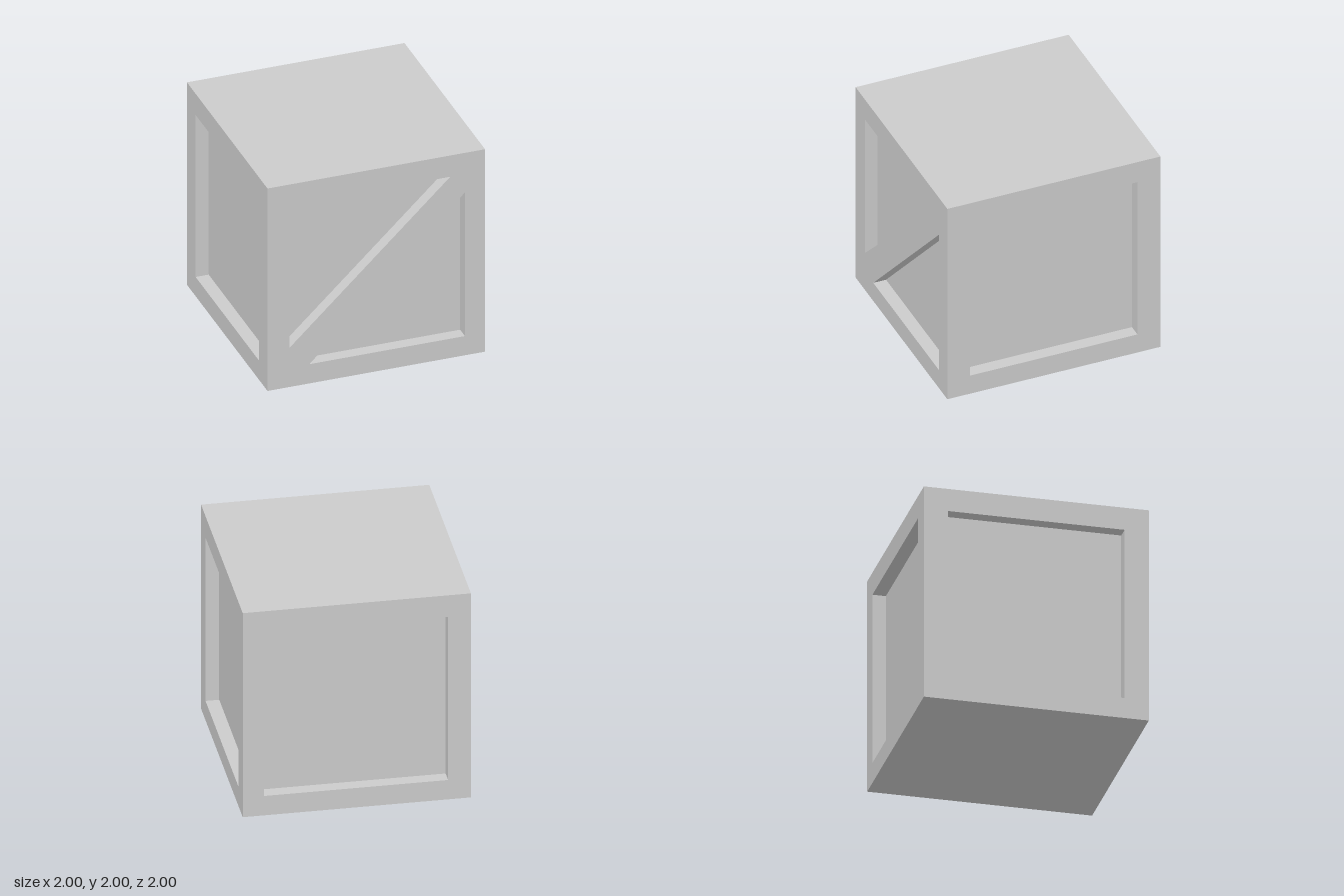
import * as THREE from 'three';

const DEPTH = 0.12; // how far the panels sit behind the frames
const INNER = 2 - 2 * DEPTH;

const material = new THREE.MeshStandardMaterial({ color: 0xcccccc, flatShading: true });

// Rectangular frame, 2 high, with polygonal openings cut through it
function frameGeometry(width, openings) {
  const w = width / 2;
  const points = (list) => list.map(([x, y]) => new THREE.Vector2(x, y));
  const shape = new THREE.Shape(points([[-w, 0], [w, 0], [w, 2], [-w, 2]]));
  for (const opening of openings) shape.holes.push(new THREE.Path(points(opening)));
  return new THREE.ExtrudeGeometry(shape, { depth: DEPTH, bevelEnabled: false });
}

const rect = (x0, x1) => [[x0, 0.19], [x0, 1.79], [x1, 1.79], [x1, 0.19]];

export function createModel() {
  const crate = new THREE.Group();
  crate.name = 'crate';

  function add(name, geometry, turn = 0) {
    const mesh = new THREE.Mesh(geometry, material);
    mesh.name = name;
    mesh.rotation.y = turn;
    crate.add(mesh);
  }

  // Solid body whose sides form the recessed panels
  add('body', new THREE.BoxGeometry(INNER, 2, INNER).translate(0, 1, 0));

  // Front frame with a diagonal brace between two triangular openings
  const front = frameGeometry(2, [
    [[-0.8, 0.385], [-0.8, 1.79], [0.68, 1.79]],
    [[-0.615, 0.19], [0.815, 1.61], [0.815, 0.19]],
  ]);
  add('frontFrame', front.translate(0, 0, 1 - DEPTH));

  // Back frame with one square opening
  const back = frameGeometry(2, [rect(-0.815, 0.8)]);
  add('backFrame', back.translate(0, 0, 1 - DEPTH), Math.PI);

  // Side frames fit between the front and back frames
  const side = frameGeometry(INNER, [rect(-0.785, 0.785)]).translate(0, 0, 1 - DEPTH);
  add('leftFrame', side, Math.PI / 2);
  add('rightFrame', side, -Math.PI / 2);

  return crate;
}
